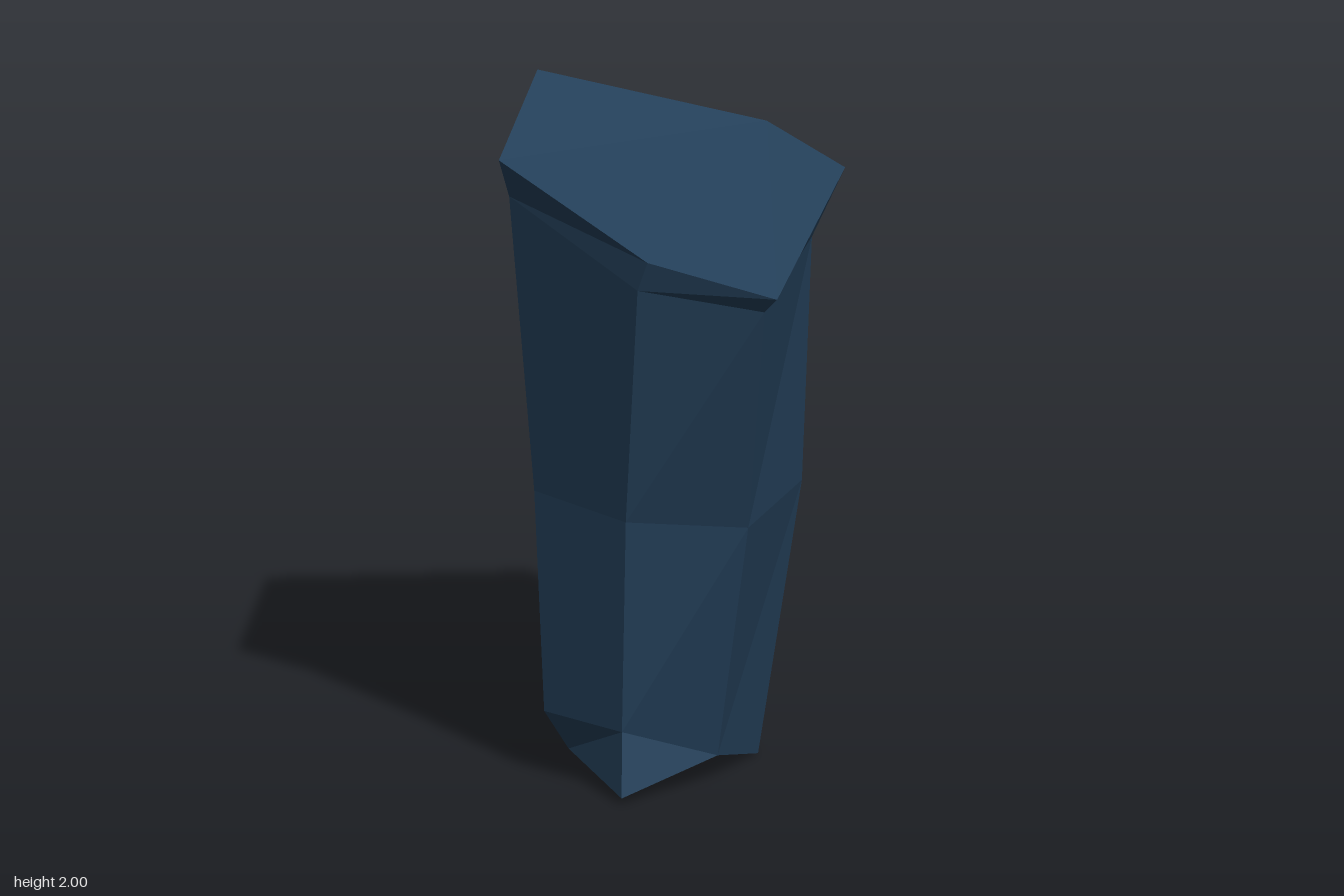
import * as THREE from 'three';

const slate = new THREE.MeshStandardMaterial({ color: 0x24405a });
slate.name = 'slateBlue';

// Cross-sections from the top down, each clockwise seen from above
const rim = [[0.16, 1.77, -0.58], [0.43, 1.715, -0.38], [0.42, 1.595, 0.47],
  [0.07, 1.715, 0.58], [-0.4, 1.925, 0.39], [-0.42, 2, -0.21]];
const neck = [[0.03, 1.65, -0.47], [0.355, 1.535, -0.285], [0.37, 1.535, 0.41],
  [0.035, 1.62, 0.55], [-0.39, 1.79, 0.3], [-0.43, 1.8, -0.215]];
const waist = [[0, 0.81, -0.42], [0.325, 0.81, -0.29], [0.27, 0.81, 0.165],
  [-0.045, 0.86, 0.34], [-0.345, 0.88, 0.175], [-0.375, 0.86, -0.275]];

// Base corners; the two back right edges run together in one point
const heel = [-0.3, 0, -0.31], backLeft = [0.205, 0, -0.26], frontLeft = [0.15, 0.08, 0.02];
const front = [-0.08, 0.2, 0.23], right = [-0.335, 0.2, 0.09];
const base = [heel, backLeft, frontLeft, front, right, heel];
const toe = [-0.07, 0.02, 0.28], notch = [-0.28, 0.07, 0.02], hollow = [-0.2, 0.035, -0.07];

// Triangles joining two cross-sections, skipping collapsed ones
function band(upper, lower) {
  const tris = [];
  upper.forEach((a, i) => {
    const j = (i + 1) % upper.length;
    tris.push([a, upper[j], lower[j]]);
    if (lower[i] !== lower[j]) tris.push([a, lower[j], lower[i]]);
  });
  return tris;
}

// Flat faceted mesh from a list of triangles
function facets(name, tris) {
  const geometry = new THREE.BufferGeometry();
  geometry.setAttribute('position', new THREE.Float32BufferAttribute(tris.flat(2), 3));
  geometry.computeVertexNormals();
  const mesh = new THREE.Mesh(geometry, slate);
  mesh.name = name;
  return mesh;
}

export function createModel() {
  const rock = new THREE.Group();
  rock.name = 'rockColumn';

  // Sloping top face
  const top = [];
  for (let i = 1; i < 5; i++) top.push([rim[0], rim[i + 1], rim[i]]);
  rock.add(facets('topFace', top));

  // Overhanging lip and tapering six-sided shaft
  rock.add(facets('lip', band(rim, neck)));
  rock.add(facets('shaft', [...band(neck, waist), ...band(waist, base)]));

  // Chipped foot with a pointed toe
  rock.add(facets('foot', [
    [frontLeft, front, toe], [front, notch, toe], [front, right, notch], [right, heel, notch],
  ]));

  // Slightly hollow underside
  const edge = [heel, backLeft, frontLeft, toe, notch];
  rock.add(facets('underside', edge.map((p, i) => [hollow, p, edge[(i + 1) % edge.length]])));

  return rock;
}
